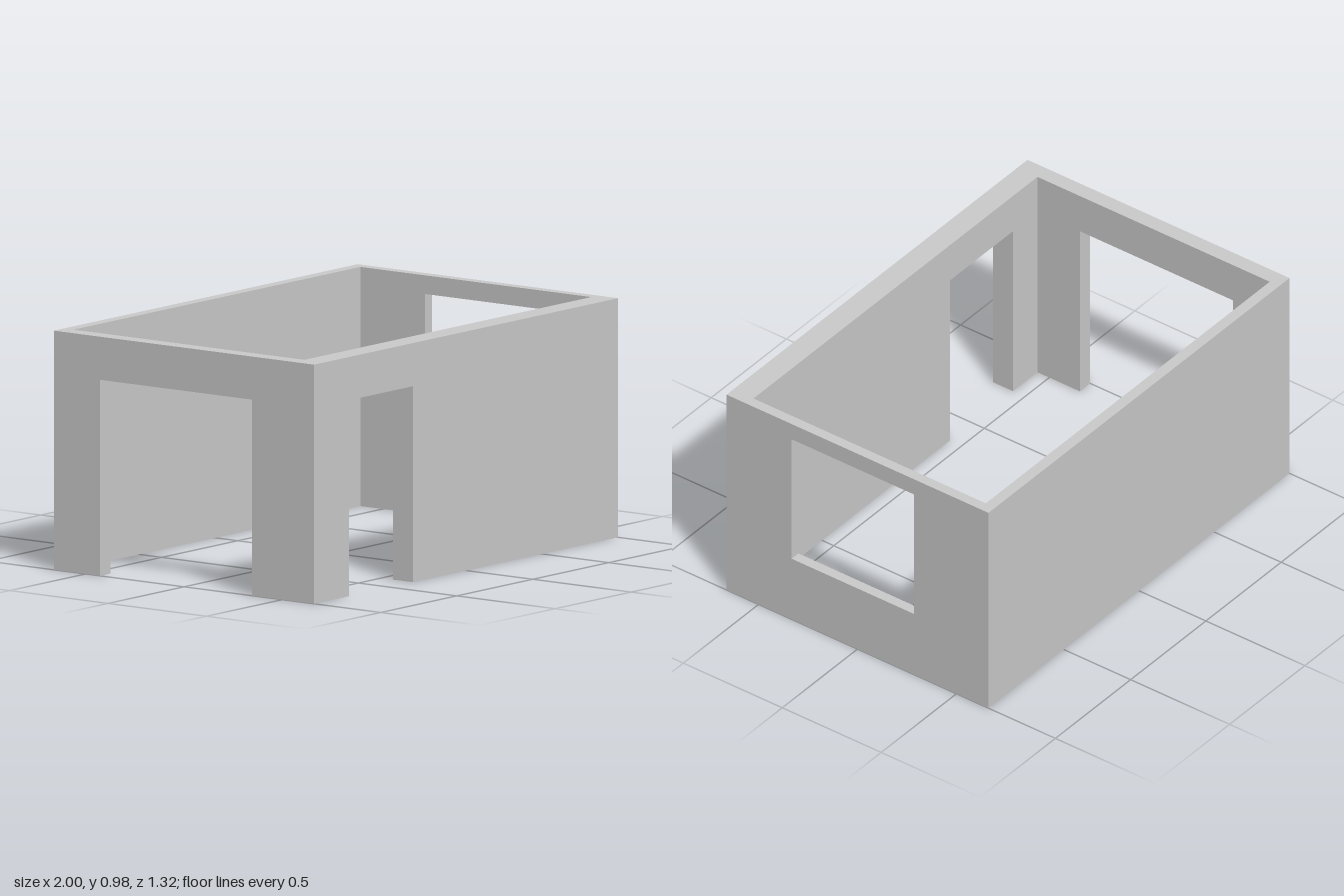
import * as THREE from 'three';

const HEIGHT = 0.976;
const X = 1, Z = 0.662; // outer half sizes
const INNER = { left: -0.932, right: 0.955, back: -0.614, front: 0.56 };

const material = new THREE.MeshStandardMaterial({ color: 0xcccccc });

// Wall elevation from a to b, with an optional doorway reaching the floor and an optional window
function elevation(a, b, { door, window: win } = {}) {
  const shape = new THREE.Shape().moveTo(a, 0);
  if (door) {
    shape.lineTo(door.from, 0).lineTo(door.from, door.top);
    shape.lineTo(door.to, door.top).lineTo(door.to, 0);
  }
  shape.lineTo(b, 0).lineTo(b, HEIGHT).lineTo(a, HEIGHT).closePath();
  if (win) {
    const hole = new THREE.Path().moveTo(win.from, win.bottom);
    hole.lineTo(win.from, win.top).lineTo(win.to, win.top).lineTo(win.to, win.bottom).closePath();
    shape.holes.push(hole);
  }
  return shape;
}

function wall(name, shape, thickness) {
  const geometry = new THREE.ExtrudeGeometry(shape, { depth: thickness, bevelEnabled: false });
  const mesh = new THREE.Mesh(geometry, material);
  mesh.name = name;
  return mesh;
}

export function createModel() {
  const room = new THREE.Group();
  room.name = 'room';

  // Front wall with its doorway, and the plain back wall, both full width
  const front = wall('frontWall',
    elevation(-X, X, { door: { from: -0.77, to: -0.35, top: 0.8 } }), Z - INNER.front);
  front.position.z = INNER.front;
  const back = wall('backWall', elevation(-X, X), INNER.back + Z);
  back.position.z = -Z;

  // Side walls fit between them: elevation runs along z, thickness towards -x
  const windowWall = wall('leftWindowWall',
    elevation(INNER.back, INNER.front, { window: { from: -0.285, to: 0.333, bottom: 0.303, top: 0.9 } }),
    X - INNER.right);
  windowWall.position.x = X;
  const doorWall = wall('rightDoorWall',
    elevation(INNER.back, INNER.front, { door: { from: -0.427, to: 0.345, top: 0.8 } }),
    INNER.left + X);
  doorWall.position.x = INNER.left;
  for (const side of [windowWall, doorWall]) side.rotation.y = -Math.PI / 2;

  room.add(front, back, windowWall, doorWall);
  return room;
}
